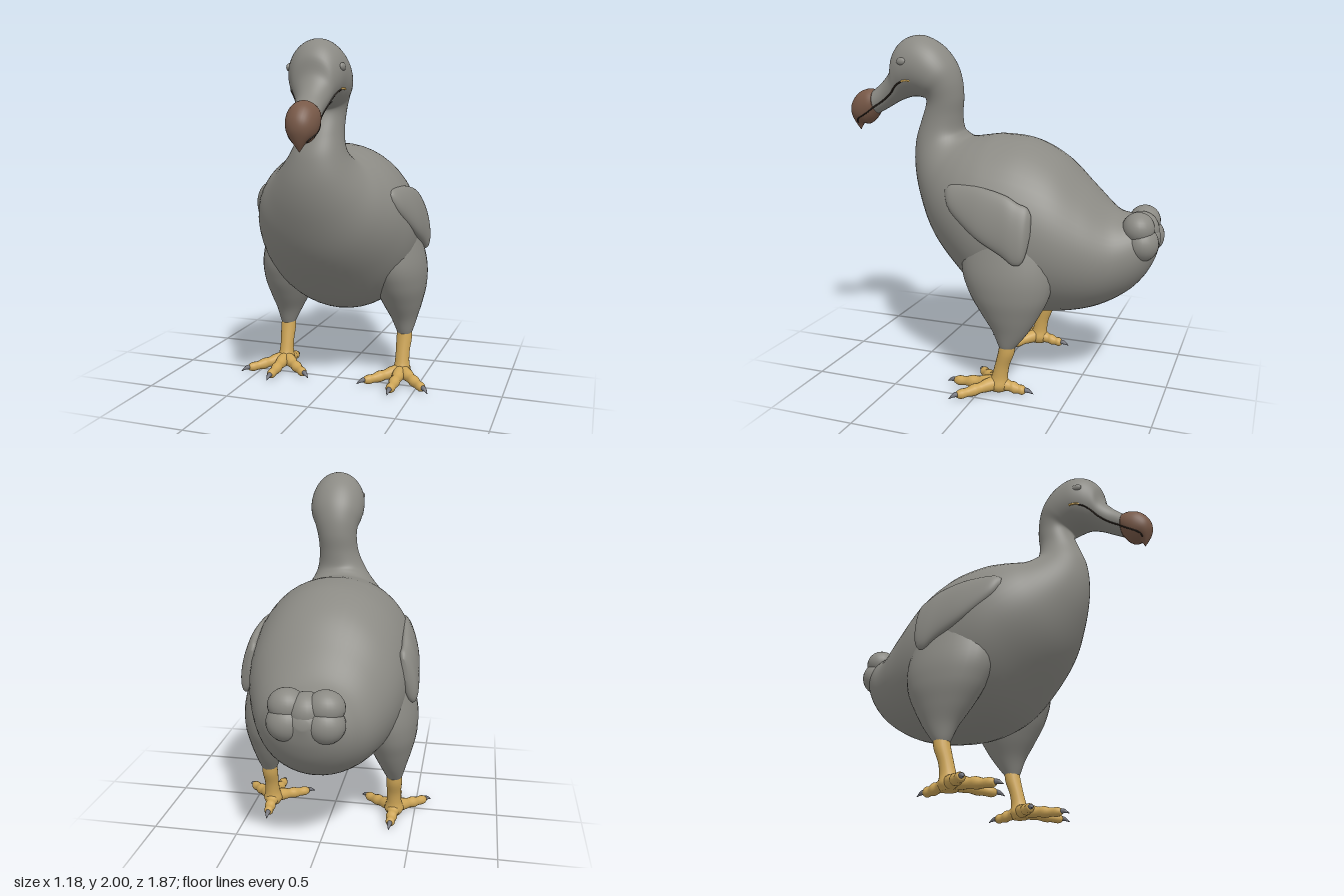
import * as THREE from 'three';

const paint = (name, color) => Object.assign(new THREE.MeshStandardMaterial({ color }), { name });
const V = (x, y, z) => new THREE.Vector3(x, y, z);

// Catmull-Rom interpolation between rows of numbers, t in row units
function sample(rows, t) {
  const n = rows.length - 1;
  const i = Math.min(Math.floor(t), n - 1), f = t - i;
  const at = (k) => rows[Math.max(0, Math.min(n, k))];
  const [a, b, c, d] = [at(i - 1), at(i), at(i + 1), at(i + 2)];
  return b.map((p, k) => p + 0.5 * f * (c[k] - a[k]
    + f * (2 * a[k] - 5 * p + 4 * c[k] - d[k] + f * (3 * (p - c[k]) + d[k] - a[k]))));
}

// Closed skin through elliptical sections; section(row) gives centre c and half axes u, v
function loft(rows, section, steps = 6, seg = 32) {
  const pos = [], index = [], rings = (rows.length - 1) * steps;
  for (let r = 0; r <= rings; r++) {
    const { c, u, v } = section(sample(rows, r / steps));
    for (let j = 0; j < seg; j++) {
      const a = (j / seg) * Math.PI * 2;
      const p = c.clone().addScaledVector(u, Math.cos(a)).addScaledVector(v, Math.sin(a));
      pos.push(p.x, p.y, p.z);
    }
  }
  for (let r = 0; r < rings; r++) {
    for (let j = 0; j < seg; j++) {
      const a = r * seg + j, b = r * seg + (j + 1) % seg;
      index.push(a, b, a + seg, b, b + seg, a + seg);
    }
  }
  // end caps
  for (const [r, flip] of [[0, true], [rings, false]]) {
    const c = section(sample(rows, r / steps)).c, k = pos.length / 3;
    pos.push(c.x, c.y, c.z);
    for (let j = 0; j < seg; j++) {
      const a = r * seg + j, b = r * seg + (j + 1) % seg;
      index.push(k, flip ? b : a, flip ? a : b);
    }
  }
  // turn the faces outward
  let volume = 0;
  const P = (i) => V(pos[3 * i], pos[3 * i + 1], pos[3 * i + 2]);
  for (let i = 0; i < index.length; i += 3) volume += P(index[i]).dot(P(index[i + 1]).cross(P(index[i + 2])));
  if (volume < 0) index.reverse();
  const g = new THREE.BufferGeometry();
  g.setAttribute('position', new THREE.Float32BufferAttribute(pos, 3));
  g.setIndex(index);
  g.computeVertexNormals();
  return g;
}

// Rows: top z, top y, bottom z, bottom y, half width, centre x
const BODY = [
  [-0.92, 0.93, -0.93, 0.88, 0.03, 0], [-0.86, 1.0, -0.90, 0.77, 0.14, 0],
  [-0.76, 1.02, -0.84, 0.66, 0.22, 0], [-0.66, 1.05, -0.74, 0.56, 0.28, 0],
  [-0.52, 1.18, -0.58, 0.47, 0.36, 0], [-0.36, 1.33, -0.38, 0.42, 0.43, 0],
  [-0.18, 1.42, -0.15, 0.41, 0.465, 0], [0, 1.44, 0.06, 0.48, 0.47, 0],
  [0.1, 1.43, 0.25, 0.65, 0.43, 0], [0.17, 1.42, 0.40, 0.83, 0.36, 0],
  [0.21, 1.42, 0.5, 1.04, 0.27, 0.005], [0.235, 1.44, 0.545, 1.22, 0.20, 0.015],
  [0.25, 1.47, 0.54, 1.38, 0.15, 0.03], [0.25, 1.55, 0.50, 1.50, 0.122, 0.045],
  [0.24, 1.65, 0.465, 1.59, 0.118, 0.053], [0.25, 1.76, 0.455, 1.63, 0.13, 0.06],
  [0.29, 1.86, 0.47, 1.64, 0.152, 0.065], [0.37, 1.95, 0.50, 1.645, 0.163, 0.068],
  [0.48, 2.0, 0.535, 1.645, 0.16, 0.07], [0.58, 1.98, 0.565, 1.64, 0.145, 0.077],
  [0.645, 1.91, 0.595, 1.63, 0.12, 0.085], [0.665, 1.81, 0.64, 1.61, 0.095, 0.092],
  [0.72, 1.735, 0.70, 1.575, 0.076, 0.1], [0.79, 1.675, 0.765, 1.54, 0.075, 0.108],
];
const BEAK = [
  [0.78, 1.68, 0.76, 1.542, 0.077, 0.108], [0.82, 1.687, 0.785, 1.505, 0.085, 0.11],
  [0.88, 1.665, 0.815, 1.48, 0.083, 0.112], [0.925, 1.61, 0.84, 1.478, 0.07, 0.114],
  [0.935, 1.55, 0.86, 1.478, 0.05, 0.115], [0.915, 1.49, 0.872, 1.463, 0.025, 0.115],
  [0.885, 1.44, 0.883, 1.44, 0.001, 0.115],
];
const spanSection = ([tz, ty, bz, by, w, x]) => ({
  c: V(x, (ty + by) / 2, (tz + bz) / 2), u: V(0, (ty - by) / 2, (tz - bz) / 2), v: V(w, 0, 0),
});
// Point on the skin of a span loft; k runs from -1 (bottom) to 1 (top)
function onSkin(rows, t, k, side) {
  const { c, u, v } = spanSection(sample(rows, t));
  return c.addScaledVector(u, k).addScaledVector(v, side * Math.sqrt(1 - k * k));
}

export function createModel() {
  const plumage = paint('grey plumage', 0x8b8a84);
  const horn = paint('brown horn', 0x785948);
  const scale = paint('yellow scales', 0xcda557);
  const claw = paint('grey claw', 0x74757c);
  const dark = paint('dark mouth line', 0x2a221c);

  const model = new THREE.Group();
  model.name = 'flightlessBird';
  const add = (name, geometry, material, parent = model) => {
    const m = new THREE.Mesh(geometry, material);
    m.name = name;
    parent.add(m);
    return m;
  };
  const ball = (name, p, r) => {
    const m = add(name, new THREE.SphereGeometry(1, 24, 16), plumage);
    m.position.set(...p);
    m.scale.set(...r);
    return m;
  };

  add('bodyNeckAndHead', loft(BODY, spanSection, 6, 48), plumage);
  add('beakTip', loft(BEAK, spanSection), horn);

  // Tail tuft
  ball('tailTuftMiddle', [0, 0.94, -0.82], [0.1, 0.1, 0.1]);

  for (const s of [1, -1]) {
    const side = s > 0 ? 'left' : 'right';
    ball(side + 'TailTuftUpper', [s * 0.1, 0.965, -0.82], [0.1, 0.09, 0.09]);
    ball(side + 'TailTuftLower', [s * 0.1, 0.88, -0.84], [0.105, 0.1, 0.095]);

    // Mouth line, gape and eyelid
    const line = (name, rows, from, to, k, r, mat) => {
      const pts = Array.from({ length: 13 }, (_, i) => onSkin(rows, from + (to - from) * i / 12, k, s));
      add(name, new THREE.TubeGeometry(new THREE.CatmullRomCurve3(pts), 36, r, 6), mat);
    };
    line(side + 'MouthLine', BODY, 18.6, 23, -0.45, 0.005, dark);
    line(side + 'Gape', BODY, 17.6, 18.7, -0.43, 0.006, scale);
    line(side + 'BeakLine', BEAK, 0, 4.5, -0.45, 0.004, dark);
    const eye = onSkin(BODY, 18.6, 0.2, s);
    ball(side + 'Eyelid', [eye.x - s * 0.006, eye.y, eye.z], [0.016, 0.022, 0.032]);

    // Wing rows: z, top y, bottom y, top x, bottom x, half thickness
    const wing = [
      [0.21, 1.17, 1.13, 0.385, 0.39, 0.01], [0.16, 1.20, 1.05, 0.385, 0.425, 0.035],
      [0, 1.20, 0.93, 0.41, 0.472, 0.045], [-0.15, 1.17, 0.85, 0.425, 0.485, 0.048],
      [-0.23, 1.13, 0.80, 0.43, 0.487, 0.048], [-0.28, 1.11, 0.83, 0.425, 0.48, 0.04],
      [-0.305, 1.07, 0.95, 0.43, 0.45, 0.012],
    ];
    add(side + 'Wing', loft(wing, ([z, ty, by, tx, bx, d]) => ({
      c: V(s * (tx + bx) / 2, (ty + by) / 2, z), u: V(s * (tx - bx) / 2, (ty - by) / 2, 0), v: V(d, 0, 0),
    })), plumage);

    // Leg rows: y, x, z, half width, half depth
    const limb = ([y, x, z, rx, rz]) => ({ c: V(s * x, y, z), u: V(rx, 0, 0), v: V(0, 0, rz) });
    add(side + 'Thigh', loft([
      [1.0, 0.29, -0.13, 0.15, 0.24], [0.75, 0.33, -0.14, 0.175, 0.27], [0.6, 0.355, -0.155, 0.155, 0.235],
      [0.48, 0.365, -0.165, 0.12, 0.17], [0.38, 0.375, -0.17, 0.08, 0.105], [0.3, 0.382, -0.158, 0.05, 0.056],
      [0.27, 0.382, -0.152, 0.036, 0.036],
    ], limb), plumage);
    add(side + 'Shank', loft([
      [0.32, 0.382, -0.16, 0.042, 0.044], [0.25, 0.382, -0.15, 0.047, 0.047], [0.17, 0.38, -0.125, 0.042, 0.042],
      [0.1, 0.38, -0.11, 0.045, 0.047], [0.05, 0.38, -0.1, 0.058, 0.062], [0.015, 0.38, -0.1, 0.04, 0.045],
    ], limb, 4, 20), scale);

    // Toes with knuckles, each ending in a claw
    const foot = new THREE.Group();
    foot.name = side + 'Foot';
    model.add(foot);
    const toes = { outer: [0.59, 0.12], middle: [0.375, 0.22], inner: [0.155, 0.1], hind: [0.37, -0.31] };
    for (const [name, [tx, tz]] of Object.entries(toes)) {
      const base = V(s * 0.38, 0, -0.1), dir = V(s * tx, 0, tz).sub(base);
      const length = dir.length();
      dir.normalize();
      const across = V(dir.z, 0, -dir.x);
      const digit = ([d, y, r]) => ({
        c: base.clone().addScaledVector(dir, d).setY(y), u: V(0, r, 0), v: across.clone().multiplyScalar(r),
      });
      const e = length - 0.05;
      add(name + 'Toe', loft([
        [0, 0.06, 0.042], [e * 0.3, 0.052, 0.037], [e * 0.45, 0.045, 0.03], [e * 0.6, 0.04, 0.034],
        [e * 0.75, 0.034, 0.026], [e * 0.9, 0.031, 0.028], [e, 0.03, 0.018],
      ], digit, 3, 14), scale, foot);
      add(name + 'Claw', loft([
        [e - 0.015, 0.033, 0.016], [e + 0.02, 0.031, 0.012], [length, 0.014, 0.001],
      ], digit, 3, 10), claw, foot);
    }
  }
  return model;
}
